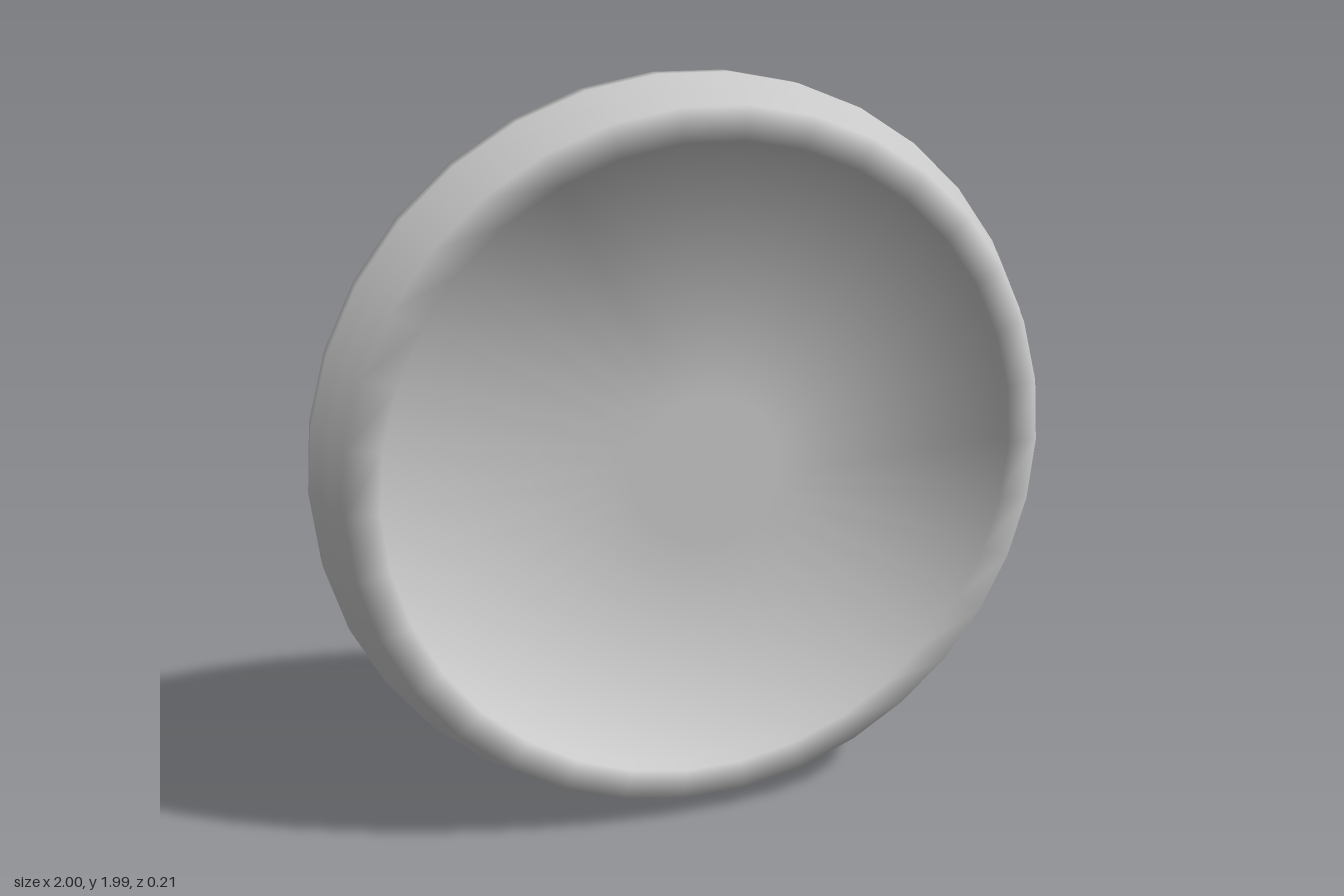
import * as THREE from 'three';

const SIDES = 34;

// Smooth normals: each profile corner takes the even mean of its two segments
function softenCorners(geometry, profile) {
  const facing = profile.slice(1).map((p, i) => {
    const d = p.clone().sub(profile[i]).normalize();
    return new THREE.Vector2(d.y, -d.x);
  });
  const corner = profile.map((p, i) => {
    const before = facing[Math.max(i - 1, 0)];
    const after = facing[Math.min(i, facing.length - 1)];
    return before.clone().add(after).normalize();
  });
  const normals = geometry.attributes.normal;
  for (let i = 0; i < normals.count; i++) {
    const turn = Math.PI / 2 + Math.floor(i / profile.length) * 2 * Math.PI / SIDES;
    const n = corner[i % profile.length];
    normals.setXYZ(i, n.x * Math.sin(turn), n.y, n.x * Math.cos(turn));
  }
}

export function createModel() {
  const group = new THREE.Group();
  group.name = 'dish';
  const material = new THREE.MeshStandardMaterial({ color: 0xcccccc });

  // Profile as [radius, z]: flat back, stepped edge, raised lip, shallow flat floor
  const profile = [
    [0, -0.105], [0.7, -0.105], [1, -0.105],
    [1, -0.052], [0.97, -0.052],
    [0.97, 0.024], [0.935, 0.024],
    [0.935, 0.105], [0.85, 0.105],
    [0.85, 0.053], [0.2, 0.053], [0, 0.053],
  ].map(([r, z]) => new THREE.Vector2(r, z));

  // Start the turn at +x so corners lie on the x axis, then face it to +z
  const geometry = new THREE.LatheGeometry(profile, SIDES, Math.PI / 2);
  softenCorners(geometry, profile);
  geometry.rotateX(Math.PI / 2);

  const disc = new THREE.Mesh(geometry, material);
  disc.name = 'steppedDisc';
  disc.position.y = Math.cos(Math.PI / SIDES); // rests on a flat side
  group.add(disc);
  return group;
}
